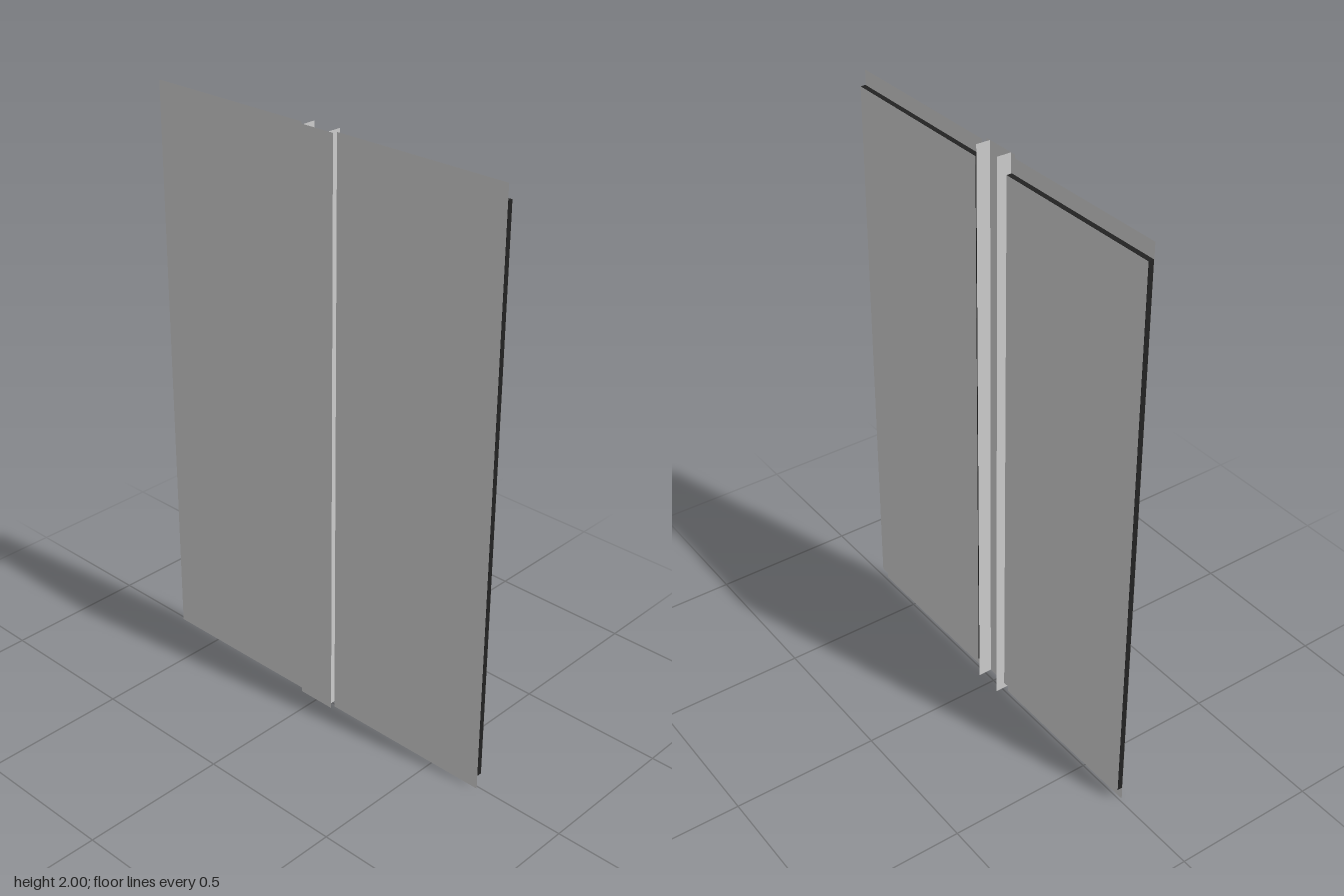
import * as THREE from 'three';

const grey = new THREE.MeshStandardMaterial({ color: 0xcccccc, side: THREE.DoubleSide });
const dark = new THREE.MeshStandardMaterial({ color: 0x222222 });

const HEIGHT = 2, MID = HEIGHT / 2;
const OUTER = 0.686, CORE_IN = 0.075, SKIN_IN = 0.07; // panel limits in x
const STUD_X = 0.05, STUD_Z = 0.024;

function add(group, name, geometry, material, x, y, z) {
  const mesh = new THREE.Mesh(geometry, material);
  mesh.name = name;
  mesh.position.set(x, y, z);
  group.add(mesh);
  return mesh;
}

export function createModel() {
  const model = new THREE.Group();
  model.name = 'partitionWall';

  for (const s of [1, -1]) {
    const panel = new THREE.Group();
    panel.name = s > 0 ? 'leftPanel' : 'rightPanel';
    model.add(panel);

    // dark core, set back from the top and bottom
    const coreW = OUTER - CORE_IN;
    const coreX = s * (OUTER + CORE_IN) / 2;
    add(panel, 'core', new THREE.BoxGeometry(coreW, 1.9, 0.017), dark, coreX, MID, 0);

    // full-height front skin and shorter back skin
    add(panel, 'frontSkin', new THREE.PlaneGeometry(OUTER - SKIN_IN, HEIGHT), grey,
      s * (OUTER + SKIN_IN) / 2, MID, 0.0095);
    add(panel, 'backSkin', new THREE.PlaneGeometry(coreW, 1.9), grey, coreX, MID, -0.0095)
      .rotation.y = Math.PI;
  }

  // thin-sheet channel that joins the panels
  const stud = new THREE.Group();
  stud.name = 'joiningChannel';
  model.add(stud);
  add(stud, 'coverStrip', new THREE.PlaneGeometry(0.136, HEIGHT), grey, 0, MID, STUD_Z);
  for (const s of [1, -1]) {
    add(stud, 'flange', new THREE.PlaneGeometry(2 * STUD_Z, HEIGHT), grey, s * STUD_X, MID, 0)
      .rotation.y = s * Math.PI / 2;
  }
  return model;
}
